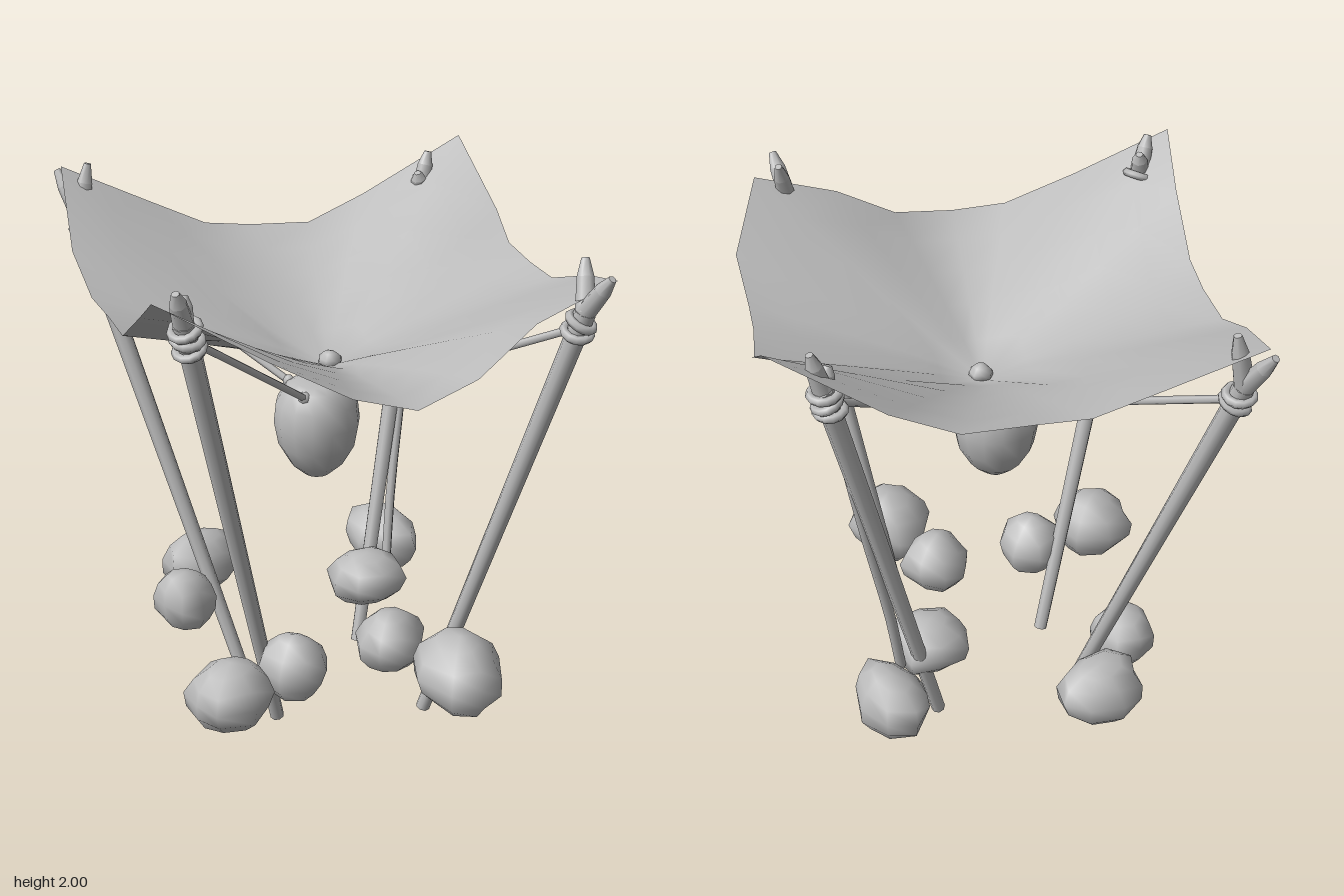
import * as THREE from 'three';
import { mergeVertices } from 'three/addons/utils/BufferGeometryUtils.js';

const grey = new THREE.MeshStandardMaterial({ color: 0xbcbcbc, side: THREE.DoubleSide });
grey.name = 'plainGrey';

const V = (p) => new THREE.Vector3(...p);
const UP = new THREE.Vector3(0, 1, 0);

function add(parent, name, geometry) {
  const mesh = new THREE.Mesh(geometry, grey);
  mesh.name = name;
  parent.add(mesh);
  return mesh;
}

// welds seams and recomputes soft normals
function soften(geometry) {
  geometry.deleteAttribute('uv');
  geometry.deleteAttribute('normal');
  const g = mergeVertices(geometry, 1e-4);
  g.computeVertexNormals();
  return g;
}

// tapered rod between two points
function stick(parent, name, from, to, r0, r1, sides = 8) {
  const a = V(from), dir = V(to).sub(a);
  const mesh = add(parent, name, new THREE.CylinderGeometry(r1, r0, dir.length(), sides));
  mesh.position.copy(a).addScaledVector(dir, 0.5);
  mesh.quaternion.setFromUnitVectors(UP, dir.normalize());
  return mesh;
}

// sagging sheet: rings shrinking from the outline to the low centre
function cloth() {
  const rim = [
    [-0.76, 1.96, -0.875], [-0.43, 1.80, -0.82], [-0.22, 1.70, -0.785], [-0.04, 1.68, -0.76], [0.2, 1.665, -0.75], [0.43, 1.76, -0.74],
    [0.81, 1.98, -0.67], [0.83, 1.77, -0.34], [0.82, 1.68, -0.2], [0.81, 1.67, 0], [0.815, 1.665, 0.17], [0.84, 1.75, 0.4],
    [0.74, 1.87, 0.77], [0.43, 1.77, 0.8], [0.2, 1.63, 0.855], [-0.04, 1.585, 0.92], [-0.24, 1.63, 0.86], [-0.5, 1.77, 0.79],
    [-0.84, 1.975, 0.695], [-0.82, 1.84, 0.46], [-0.815, 1.68, 0.2], [-0.81, 1.67, 0], [-0.82, 1.67, -0.21], [-0.83, 1.77, -0.44],
  ];
  const n = rim.length, rings = 5, low = 1.37, pos = [], idx = [];
  for (let i = 0; i <= rings; i++) {
    const t = i / rings;
    for (const [x, y, z] of rim) {
      pos.push(x * t, low + (y - low) * Math.pow(t, 0.8 + (y - 1.6)), z * t);
    }
  }
  for (let i = 0; i < rings; i++) for (let j = 0; j < n; j++) {
    const k = (j + 1) % n, a = i * n + j, b = i * n + k, c = a + n, d = b + n;
    idx.push(a, d, c);
    if (i > 0) idx.push(a, b, d);
  }
  const g = new THREE.BufferGeometry();
  g.setAttribute('position', new THREE.Float32BufferAttribute(pos, 3));
  g.setIndex(idx);
  return soften(g);
}

// lumpy boulder, open underneath
function boulder(seed, open = 0.78) {
  const g = new THREE.SphereGeometry(1, 8, 5, 0, Math.PI * 2, 0, Math.PI * open);
  const p = g.attributes.position;
  for (let i = 0; i < p.count; i++) {
    const x = p.getX(i), y = p.getY(i), z = p.getZ(i);
    const k = 1 + 0.09 * Math.sin(3.1 * x + seed * 2.3) + 0.09 * Math.sin(3.7 * z - seed * 1.7 + 2 * y);
    p.setXYZ(i, x * k, y * (1 + 0.08 * Math.sin(2.5 * x + seed)), z * k);
  }
  return soften(g);
}

export function createModel() {
  const model = new THREE.Group();
  model.name = 'canopyShelter';
  add(model, 'canopyCloth', cloth());

  // forked posts with rope bindings and a rope to the hanging pot
  const potTop = [-0.045, 1.31, 0.015];
  const posts = [
    { name: 'frontLeft', foot: [0.28, 0, 0.31], tie: [0.61, 1.72, 0.76], tips: [[0.65, 1.94, 0.7], [0.66, 1.92, 0.87]], loops: 2 },
    { name: 'frontRight', foot: [-0.275, 0, 0.165], tie: [-0.7, 1.8, 0.59], tips: [[-0.75, 1.98, 0.65], [-0.70, 1.94, 0.57]], loops: 3 },
    { name: 'backRight', foot: [-0.29, 0, -0.26], tie: [-0.70, 1.72, -0.78], tips: [[-0.67, 1.98, -0.81], [-0.77, 1.94, -0.9]], loops: 2 },
    { name: 'backLeft', foot: [0.22, 0, -0.24], tie: [0.61, 1.74, -0.6], tips: [[0.66, 1.94, -0.63], [0.60, 1.87, -0.59]], loops: 3 },
  ];
  for (const { name, foot, tie, tips, loops } of posts) {
    const post = new THREE.Group();
    post.name = name + 'Post';
    model.add(post);
    const axis = V(tie).sub(V(foot)).normalize();
    const fork = V(tie).addScaledVector(axis, 0.06);
    stick(post, 'pole', foot, fork.toArray(), 0.027, 0.038);
    for (const tip of tips) {
      const mid = fork.clone().lerp(V(tip), 0.65);
      stick(post, 'forkProng', fork.toArray(), mid.toArray(), 0.036, 0.03, 7);
      stick(post, 'forkTip', mid.toArray(), tip, 0.03, 0.014, 7);
    }
    for (let i = 0; i < loops; i++) {
      const loop = add(post, 'binding', new THREE.TorusGeometry(0.046, 0.016, 6, 12));
      loop.position.copy(V(tie)).addScaledVector(axis, (i - (loops - 1) / 2) * 0.04);
      const tilt = axis.clone().add(new THREE.Vector3(i % 2 ? 0.2 : -0.15, 0, 0.1)).normalize();
      loop.quaternion.setFromUnitVectors(new THREE.Vector3(0, 0, 1), tilt);
    }
    const ropeEnd = V(potTop).add(new THREE.Vector3(Math.sign(tie[0]) * 0.085, -0.01, Math.sign(tie[2]) * 0.085));
    stick(post, 'rope', tie, ropeEnd.toArray(), 0.014, 0.014, 6);
    const knot = add(post, 'ropeKnot', new THREE.SphereGeometry(0.024, 7, 5));
    knot.position.copy(ropeEnd);
  }

  // second slender rod beside the back left post
  const brace = new THREE.CatmullRomCurve3([[0.6, 1.72, -0.58], [0.5, 1.1, -0.46], [0.41, 0.6, -0.36], [0.37, 0.3, -0.3]].map(V));
  add(model, 'braceRod', new THREE.TubeGeometry(brace, 10, 0.02, 6));

  // hanging pot
  const profile = [[0, 0.945], [0.05, 0.955], [0.1, 1.0], [0.145, 1.08], [0.161, 1.17], [0.152, 1.25], [0.115, 1.31], [0.08, 1.328], [0, 1.325]];
  const pot = add(model, 'hangingPot', soften(new THREE.LatheGeometry(profile.map(([r, y]) => new THREE.Vector2(r, y)), 14)));
  pot.position.set(-0.053, 0, 0.022);

  // pebble weighing down the cloth centre
  const pebble = add(model, 'centrePebble', boulder(2, 1));
  pebble.scale.set(0.042, 0.035, 0.046);
  pebble.position.set(0.005, 1.395, 0.01);

  // boulders bracing the posts: x, z, half width, half depth, half height, turn
  const stones = [
    [-0.54, 0.43, 0.18, 0.14, 0.13, 0.3], [-0.26, 0.33, 0.12, 0.14, 0.13, 0.8],
    [-0.5, -0.29, 0.14, 0.13, 0.12, 1.2], [-0.34, -0.58, 0.18, 0.14, 0.13, 0.5],
    [0.24, -0.2, 0.15, 0.15, 0.12, 0.2], [0.43, -0.5, 0.14, 0.19, 0.13, 0.4],
    [0.30, 0.58, 0.16, 0.21, 0.145, 0.1], [0.14, 0.29, 0.14, 0.13, 0.12, 0.9],
  ];
  stones.forEach(([x, z, w, d, h, turn], i) => {
    const stone = add(model, 'boulder', boulder(i + 1));
    stone.scale.set(w, h, d);
    stone.position.set(x, 0.32, z);
    stone.rotation.y = turn;
  });
  return model;
}
